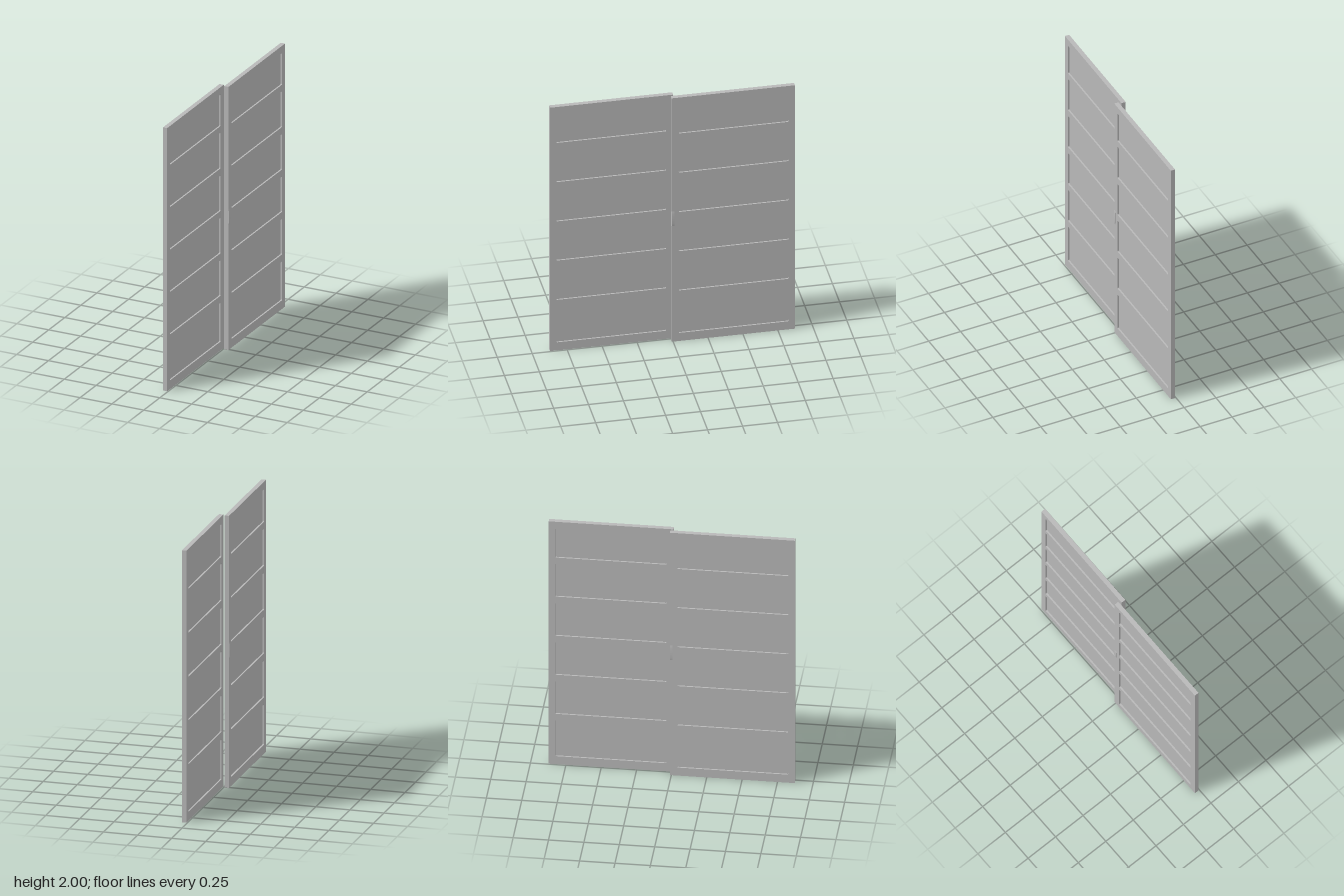
import * as THREE from 'three';

const INNER = 0.007, THICK = 0.033;      // gap from centre plane, door thickness
const Z0 = -0.01, Z1 = 0.872, HEIGHT = 2; // door extents
const OPEN0 = 0.04, OPEN1 = 0.826;        // openings across the door
const ROWS = [[0.066, 0.362], [0.415, 0.685], [0.738, 1.008], [1.06, 1.33], [1.383, 1.655], [1.705, 1.945]];

// rectangle with small rounded corners
function roundedRect(path, x0, y0, x1, y1, r) {
  path.moveTo(x0 + r, y0);
  path.lineTo(x1 - r, y0);
  path.quadraticCurveTo(x1, y0, x1, y0 + r);
  path.lineTo(x1, y1 - r);
  path.quadraticCurveTo(x1, y1, x1 - r, y1);
  path.lineTo(x0 + r, y1);
  path.quadraticCurveTo(x0, y1, x0, y1 - r);
  path.lineTo(x0, y0 + r);
  path.quadraticCurveTo(x0, y0, x0 + r, y0);
  return path;
}

function createDoor(material) {
  const door = new THREE.Group();

  // frame with six openings, turned so its width runs along z
  const shape = new THREE.Shape();
  shape.moveTo(Z0, 0);
  shape.lineTo(Z1, 0);
  shape.lineTo(Z1, HEIGHT);
  shape.lineTo(Z0, HEIGHT);
  shape.closePath();
  for (const [y0, y1] of ROWS) {
    shape.holes.push(roundedRect(new THREE.Path(), OPEN0, y0, OPEN1, y1, 0.007));
  }
  const frameGeo = new THREE.ExtrudeGeometry(shape, { depth: THICK, bevelEnabled: false, curveSegments: 4 });
  frameGeo.rotateY(-Math.PI / 2);
  const frame = new THREE.Mesh(frameGeo, material);
  frame.name = 'doorFrame';
  frame.position.x = -INNER;
  door.add(frame);

  // recessed infill panels
  for (const [y0, y1] of ROWS) {
    const panel = new THREE.Mesh(new THREE.BoxGeometry(0.01, y1 - y0 + 0.008, OPEN1 - OPEN0 + 0.008), material);
    panel.name = 'infillPanel';
    panel.position.set(-INNER - THICK / 2, (y0 + y1) / 2, (OPEN0 + OPEN1) / 2);
    door.add(panel);
  }

  // shallow bowed pull on the outer face, flush with the meeting edge
  const face = -INNER - THICK;
  const bow = new THREE.Shape();
  bow.moveTo(face + 0.004, 0.95);
  bow.lineTo(face + 0.004, 1.07);
  bow.lineTo(face, 1.07);
  bow.bezierCurveTo(face - 0.006, 1.05, face - 0.006, 0.97, face, 0.95);
  bow.closePath();
  const pull = new THREE.Mesh(new THREE.ExtrudeGeometry(bow, { depth: 0.02, bevelEnabled: false, curveSegments: 10 }), material);
  pull.name = 'doorPull';
  pull.position.z = Z0;
  door.add(pull);
  return door;
}

export function createModel() {
  const grey = new THREE.MeshStandardMaterial({ color: 0xb8b8b8 });
  grey.name = 'grey';
  const model = new THREE.Group();
  model.name = 'slidingDoors';

  const frontDoor = createDoor(grey);
  frontDoor.name = 'frontDoor';
  const backDoor = createDoor(grey);
  backDoor.name = 'backDoor';
  backDoor.rotation.y = Math.PI;
  model.add(frontDoor, backDoor);
  return model;
}
